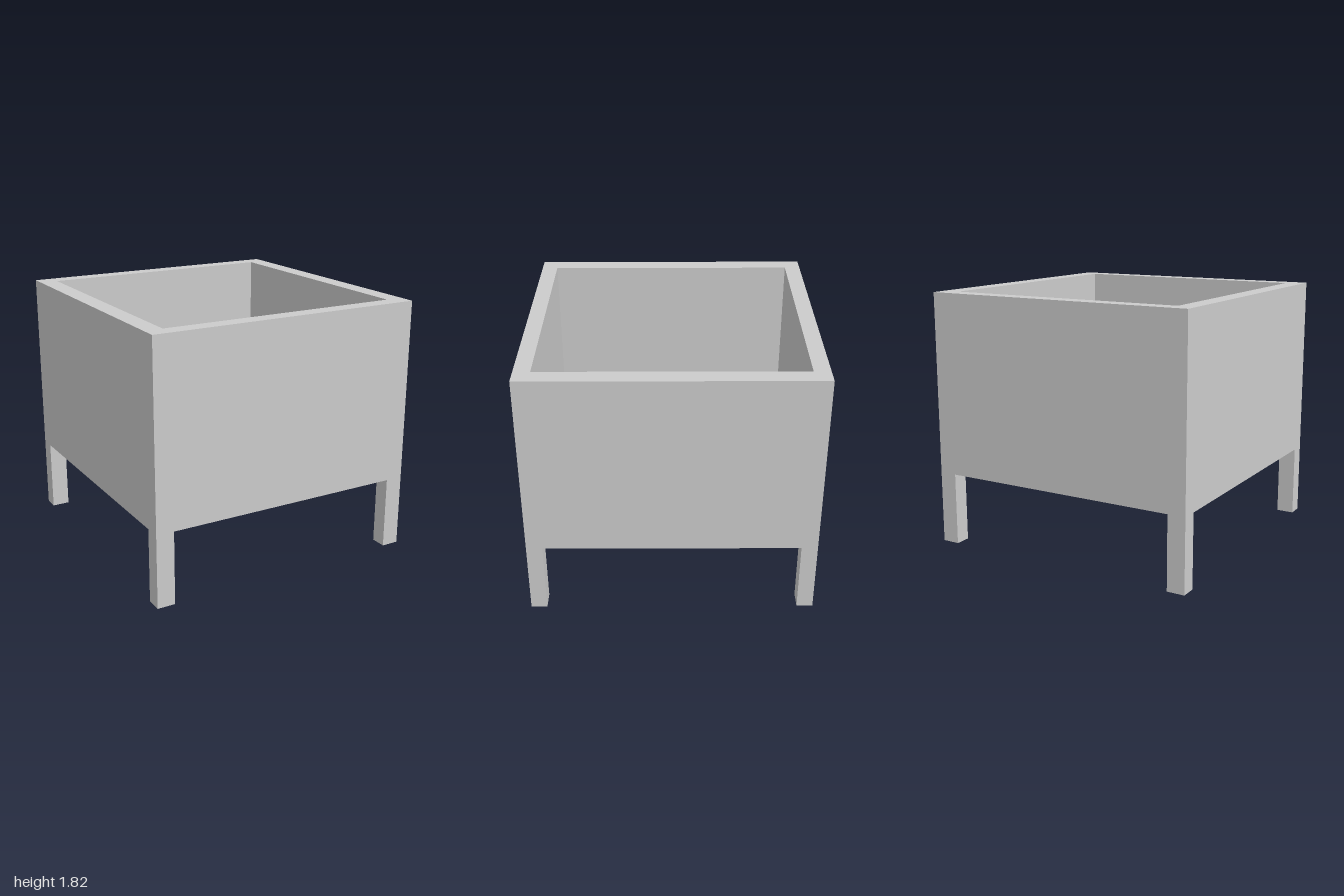
import * as THREE from 'three';

const W = 0.99, D = 1;            // outer half width and half depth
const IW = 0.863, ID = 0.887;     // inner half width and half depth
const LEG = 0.52, TOP = 1.82, FLOOR = 0.06;

const rectangle = (Type, w, d) => new Type([
  new THREE.Vector2(-w, -d), new THREE.Vector2(w, -d),
  new THREE.Vector2(w, d), new THREE.Vector2(-w, d),
]);

export function createModel() {
  const group = new THREE.Group();
  const material = new THREE.MeshStandardMaterial({ color: 0xcccccc, side: THREE.DoubleSide });
  const add = (name, geometry, x, y, z) => {
    const mesh = new THREE.Mesh(geometry, material);
    mesh.name = name;
    mesh.position.set(x, y, z);
    group.add(mesh);
  };

  // Four thick walls as one open frame
  const frame = rectangle(THREE.Shape, W, D);
  frame.holes.push(rectangle(THREE.Path, IW, ID));
  const walls = new THREE.ExtrudeGeometry(frame, { depth: TOP - LEG, bevelEnabled: false });
  walls.rotateX(-Math.PI / 2);
  add('walls', walls, 0, LEG, 0);

  // Floor inside the walls
  add('floor', new THREE.BoxGeometry(2 * IW, FLOOR, 2 * ID), 0, LEG + FLOOR / 2, 0);

  // Hollow corner legs, open at the bottom: a box without its top and bottom faces
  const leg = new THREE.BoxGeometry(W - IW, LEG, D - ID);
  const index = Array.from(leg.index.array);
  leg.setIndex([...index.slice(0, 12), ...index.slice(24)]);
  leg.clearGroups();
  for (const [side, sx] of [['Left', 1], ['Right', -1]]) {
    for (const [end, sz] of [['front', 1], ['back', -1]]) {
      add(`${end}${side}Leg`, leg, sx * (W + IW) / 2, LEG / 2, sz * (D + ID) / 2);
    }
  }
  return group;
}
